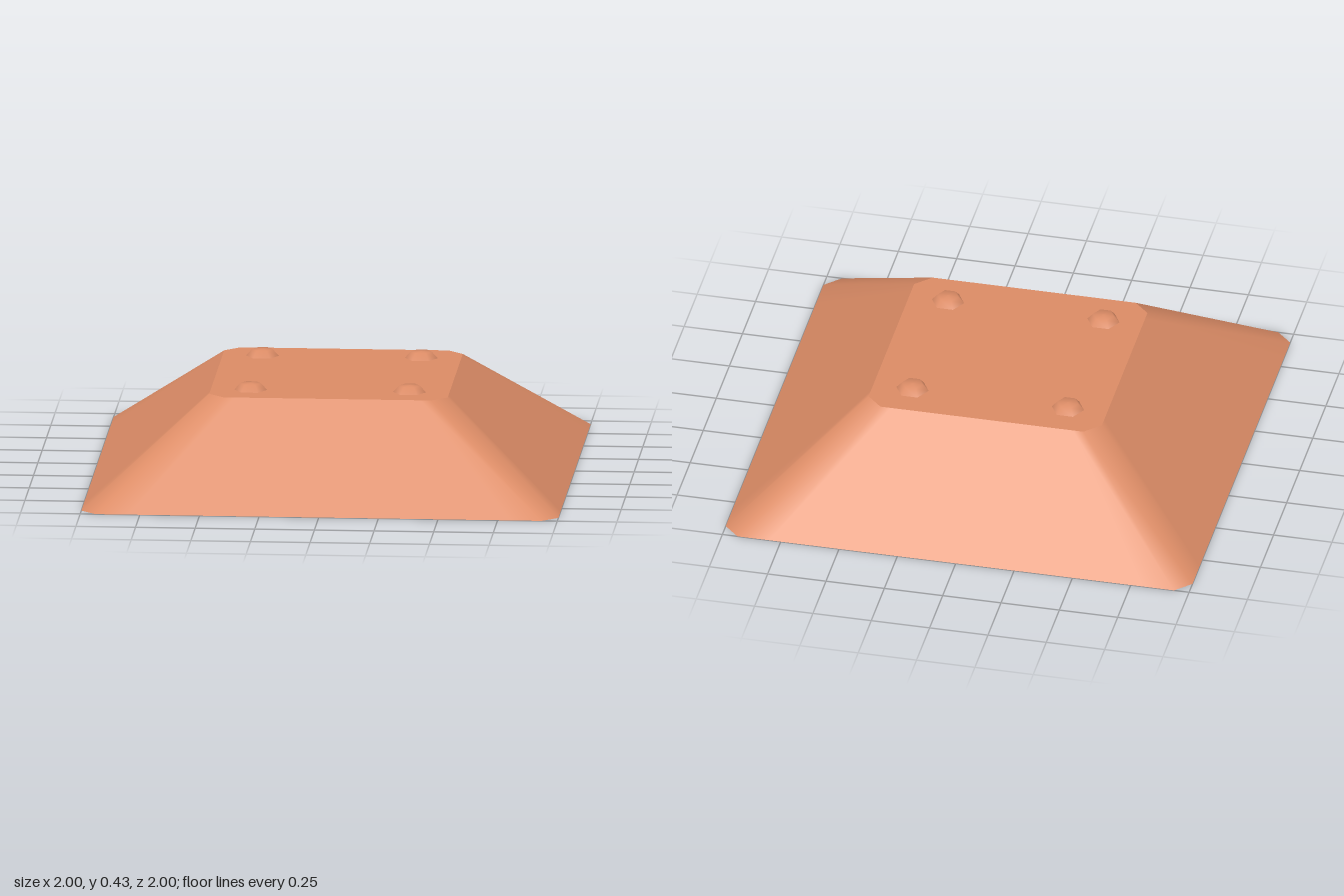
import * as THREE from 'three';

const HEIGHT = 0.4;

// Square outline with clipped corners; extra points keep the flat sides flat
function outline(half, clip, inset, y) {
  const points = [];
  let corner = [[half, half - inset], [half, half - clip], [half - clip, half], [half - inset, half]];
  for (let i = 0; i < 4; i++) {
    corner.forEach(([x, z]) => points.push([x, y, z]));
    corner = corner.map(([x, z]) => [-z, x]);
  }
  return points;
}

function indexed(points, index) {
  const geometry = new THREE.BufferGeometry();
  geometry.setAttribute('position', new THREE.Float32BufferAttribute(points.flat(), 3));
  geometry.setIndex(index);
  geometry.computeVertexNormals();
  return geometry;
}

// Sloping walls between two outlines, smooth around the corners
function walls(lower, upper) {
  const n = lower.length, index = [];
  for (let i = 0; i < n; i++) {
    const j = (i + 1) % n;
    index.push(i, i + n, j + n, i, j + n, j);
  }
  return indexed([...lower, ...upper], index);
}

// Flat cap fanned from its centre
function cap(ring, up) {
  const n = ring.length, index = [];
  for (let i = 0; i < n; i++) {
    const j = (i + 1) % n;
    index.push(n, ...(up ? [j, i] : [i, j]));
  }
  return indexed([...ring, [0, ring[0][1], 0]], index);
}

export function createModel() {
  const model = new THREE.Group();
  model.name = 'pedestal';
  const clay = new THREE.MeshStandardMaterial({ color: 0xdc8c66 });
  clay.name = 'clay orange';

  const add = (name, geometry, parent = model) => {
    const mesh = new THREE.Mesh(geometry, clay);
    mesh.name = name;
    parent.add(mesh);
    return mesh;
  };

  // Tapered body
  const lower = outline(1, 0.065, 0.2, 0);
  const upper = outline(0.5, 0.065, 0.11, HEIGHT);
  add('slopingSides', walls(lower, upper));
  add('topPlate', cap(upper, true));
  add('underside', cap(lower, false));

  // Six-sided domed bolt heads near the top corners
  const profile = [[0.069, 0], [0.044, 0.028], [0, 0.031]].map(([r, y]) => new THREE.Vector2(r, y));
  const boltGeometry = new THREE.LatheGeometry(profile, 6, Math.PI / 2);
  const bolts = new THREE.Group();
  bolts.name = 'bolts';
  model.add(bolts);
  for (const x of [-0.333, 0.333]) {
    for (const z of [-0.34, 0.34]) add('bolt', boltGeometry, bolts).position.set(x, HEIGHT, z);
  }
  return model;
}
